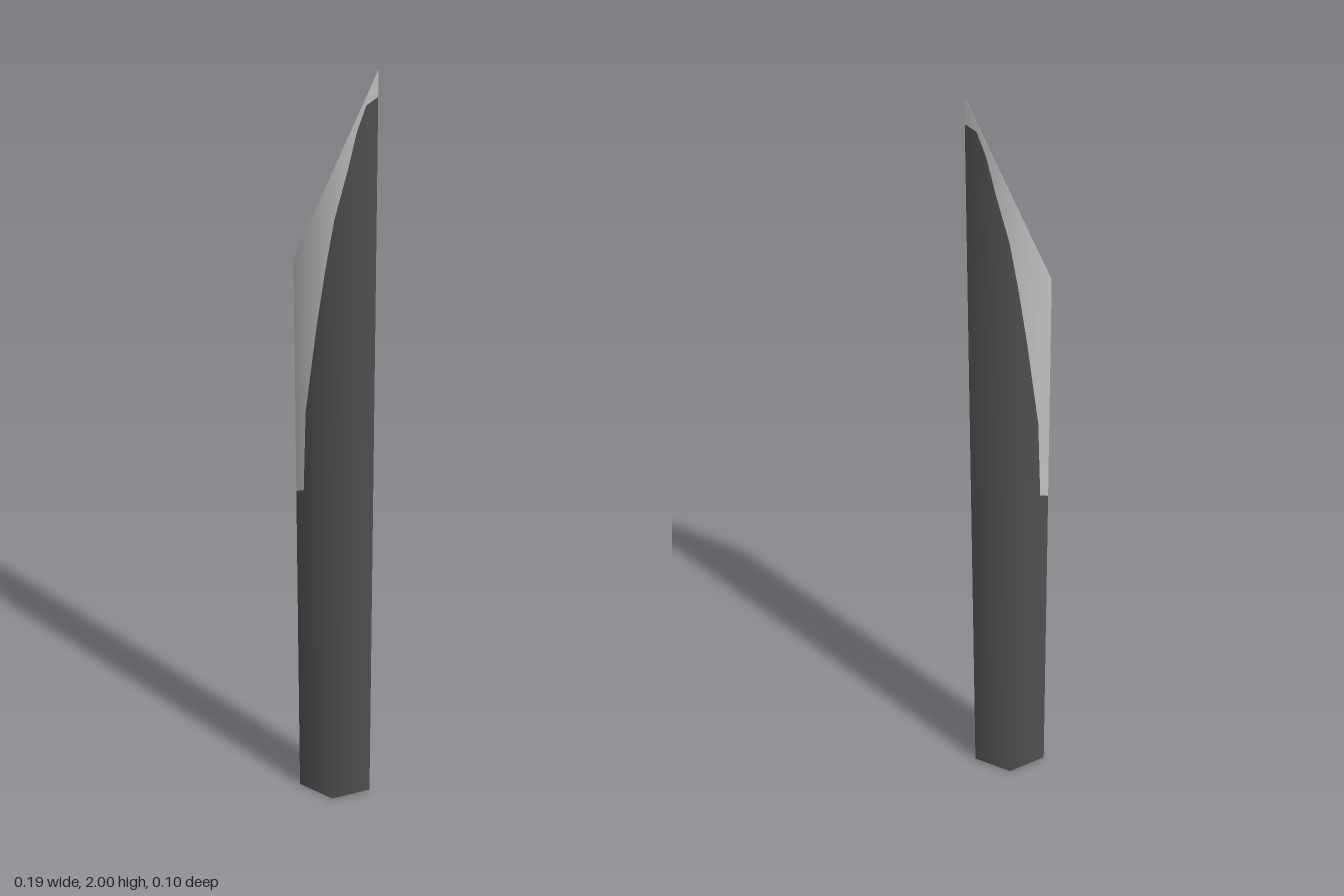
import * as THREE from 'three';

const W = 0.095, DEPTH = 0.052, EDGE = 0.003, RIM = 0.0015;
const SLOPE = (DEPTH - RIM) / 0.925;

// Blade outline and thickness
const topAt = (x) => 1.775 + x * (0.225 / W);
const bodyHalf = (x) => EDGE + (DEPTH - EDGE) * (1 - Math.abs(x) / W);
const bevelStart = (x) => topAt(x) - (bodyHalf(x) - RIM) / SLOPE;
const halfAt = (x, y) => Math.min(bodyHalf(x), RIM + SLOPE * (topAt(x) - y));

// Lower border of the polished edge, as [x, y]
const BORDER = [[-W, 0.93], [-0.075, 0.94], [-0.068, 1.16], [-0.04, 1.39], [-0.02, 1.53],
  [0, 1.65], [0.03, 1.77], [0.05, 1.86], [0.07, 1.92], [W, 1.94]];

// Skin over a list of columns, each a list of points running upwards
function skin(columns, normalAt) {
  const pos = [], nor = [], index = [], n = columns[0].length;
  columns.forEach((col) => col.forEach((p) => {
    pos.push(p.x, p.y, p.z);
    if (normalAt) nor.push(...normalAt(p).toArray());
  }));
  for (let c = 0; c < columns.length - 1; c++) {
    for (let r = 0; r < n - 1; r++) {
      const a = c * n + r, b = a + n;
      index.push(a, b, b + 1, a, b + 1, a + 1);
    }
  }
  const g = new THREE.BufferGeometry();
  g.setAttribute('position', new THREE.Float32BufferAttribute(pos, 3));
  g.setIndex(index);
  if (normalAt) g.setAttribute('normal', new THREE.Float32BufferAttribute(nor, 3));
  else g.computeVertexNormals();
  return g;
}

export function createModel() {
  const model = new THREE.Group();
  model.name = 'blade';
  const dark = new THREE.MeshStandardMaterial({ color: 0x505050, side: THREE.DoubleSide });
  dark.name = 'dark steel';
  const bright = new THREE.MeshStandardMaterial({ color: 0xc0c0c0, side: THREE.DoubleSide });
  bright.name = 'polished steel';

  const add = (name, geometry, material) => {
    const mesh = new THREE.Mesh(geometry, material);
    mesh.name = name;
    model.add(mesh);
  };
  const mirror = (col) => col.map((p) => new THREE.Vector3(p.x, p.y, -p.z));
  const column = (x, ys) => ys.map((y) => new THREE.Vector3(x, y, halfAt(x, y)));
  // Normals blend softly over the central ridge
  const softNormal = (p) => new THREE.Vector3(0.5 * p.x / W, 0.04, Math.sign(p.z) * 0.87).normalize();

  const body = BORDER.map(([x, y]) => column(x, [0, Math.min(bevelStart(x), y), y]));
  const edge = BORDER.map(([x, y]) => column(x, [y, Math.max(bevelStart(x), y), topAt(x)]));

  // Front, back and narrow sides of both zones
  for (const [name, cols, material] of [['body', body, dark], ['cuttingEdge', edge, bright]]) {
    const first = cols[0], last = cols[cols.length - 1];
    add(name + 'Front', skin(cols, softNormal), material);
    add(name + 'Back', skin(cols.map(mirror).reverse(), softNormal), material);
    add(name + 'RightSide', skin([mirror(first), first]), material);
    add(name + 'LeftSide', skin([last, mirror(last)]), material);
  }

  // Slanted tip rim and flat base
  const rim = edge.map((col) => col[col.length - 1]);
  add('tipRim', skin([rim, mirror(rim)].reverse().map((c) => c.slice().reverse())), bright);
  const foot = body.map((col) => col[0]);
  add('base', skin([foot, mirror(foot)].reverse()), dark);
  return model;
}
